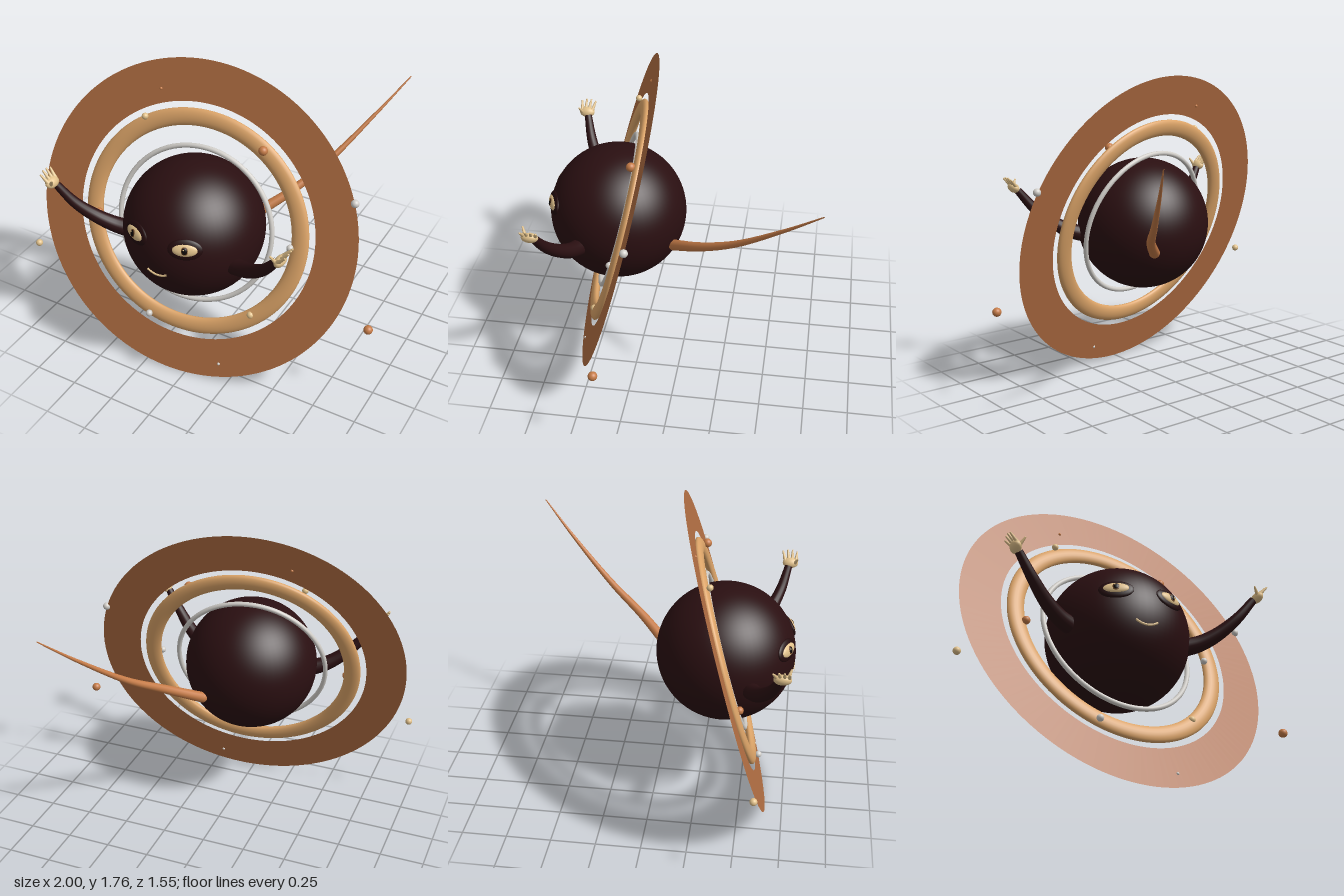
import * as THREE from 'three';

const mat = (name, color, side = THREE.FrontSide) => {
  const m = new THREE.MeshStandardMaterial({ color, side });
  m.name = name;
  return m;
};
const V = (x, y, z) => new THREE.Vector3(x, y, z);
const CENTER = V(-0.055, 0.885, 0.385);
const R = 0.387;
const NORMAL = V(0.132, 0.266, 0.955).normalize(); // tilt of the ring plane

// Tube along a curve whose radius tapers from r0 to r1
function taperedTube(points, r0, r1, segs = 40, sides = 16) {
  const curve = new THREE.CatmullRomCurve3(points);
  const geo = new THREE.TubeGeometry(curve, segs, 1, sides);
  const pos = geo.attributes.position;
  for (let i = 0; i <= segs; i++) {
    const t = i / segs, c = curve.getPointAt(t), r = r0 + (r1 - r0) * t;
    for (let j = 0; j <= sides; j++) {
      const k = i * (sides + 1) + j;
      const p = V(0, 0, 0).fromBufferAttribute(pos, k).sub(c).multiplyScalar(r).add(c);
      pos.setXYZ(k, p.x, p.y, p.z);
    }
  }
  return geo;
}

export function createModel() {
  const model = new THREE.Group();
  const body = mat('darkMaroon', 0x2a0f11);
  const socketMat = mat('socketMaroon', 0x220a0c);
  const ringMat = mat('rust', 0xb06d42, THREE.DoubleSide);
  const gold = mat('gold', 0xdca468);
  const silver = mat('silver', 0xd2cfca);
  const copper = mat('copper', 0xc67c48);
  const cream = mat('cream', 0xe2c28c);
  const irisMat = mat('irisBrown', 0x6b4422);
  const black = mat('pupilBlack', 0x0c0606);

  const add = (parent, name, geo, material, p) => {
    const m = new THREE.Mesh(geo, material);
    m.name = name;
    if (p) m.position.copy(p);
    parent.add(m);
    return m;
  };
  const ball = (parent, name, material, p, rx, ry = rx, rz = rx) => {
    const m = add(parent, name, new THREE.SphereGeometry(1, 24, 16), material, p);
    m.scale.set(rx, ry, rz);
    return m;
  };

  add(model, 'body', new THREE.SphereGeometry(R, 64, 48), body, CENTER);

  // Three concentric rings sharing one tilted plane
  const rings = new THREE.Group();
  rings.name = 'rings';
  rings.position.copy(CENTER);
  rings.quaternion.setFromUnitVectors(V(0, 0, 1), NORMAL);
  model.add(rings);
  add(rings, 'outerRing', new THREE.RingGeometry(0.682, 0.913, 128, 1), ringMat);
  add(rings, 'middleRing', new THREE.TorusGeometry(0.6, 0.048, 20, 128), gold).scale.z = 0.5;
  add(rings, 'innerHoop', new THREE.TorusGeometry(0.442, 0.014, 12, 96), silver);

  // Small moons: x, y, z, radius, material
  [
    [-0.39, 1.43, 0.315, 0.018, cream], [0.28, 1.38, 0.24, 0.025, copper],
    [0.785, 1.19, 0.187, 0.022, silver], [0.495, 0.89, 0.33, 0.019, silver],
    [0.335, 0.46, 0.465, 0.02, cream], [-0.24, 0.33, 0.6, 0.019, silver],
    [-0.605, 0.845, 0.5, 0.022, copper], [-0.98, 0.555, 0.605, 0.02, cream],
    [0.97, 0.53, 0.335, 0.025, copper], [-0.335, 1.573, 0.232, 0.008, copper],
    [0.19, 0.11, 0.567, 0.008, silver],
  ].forEach(([x, y, z, r, m]) => ball(model, 'moon', m, V(x, y, z), r));

  // Tail sweeping up and back
  const tail = [V(0.12, 0.79, 0.04), V(0.27, 0.9, -0.13), V(0.4, 1.03, -0.33),
    V(0.56, 1.25, -0.59), V(0.68, 1.43, -0.78)];
  add(model, 'tail', taperedTube(tail, 0.031, 0.003, 60), copper);
  ball(model, 'tailBase', copper, tail[0], 0.031);

  // Eyes, laid on the body surface
  for (const s of [-1, 1]) {
    const dir = V(0.15 * s, 0.11, 0.34).normalize();
    const eye = new THREE.Group();
    eye.name = s > 0 ? 'leftEye' : 'rightEye';
    eye.position.copy(CENTER).addScaledVector(dir, R);
    eye.rotation.set(-Math.asin(dir.y), Math.atan2(dir.x, dir.z), 0, 'YXZ');
    model.add(eye);
    ball(eye, 'socket', socketMat, V(0, 0, -0.005), 0.092, 0.058, 0.018);
    ball(eye, 'eyeball', cream, V(0, 0, 0.004), 0.068, 0.035, 0.018);
    ball(eye, 'iris', irisMat, V(0, 0, 0.018), 0.021, 0.023, 0.006);
    ball(eye, 'pupil', black, V(0, 0, 0.021), 0.014, 0.018, 0.006);
    ball(eye, 'glint', cream, V(-0.006, 0.008, 0.026), 0.004, 0.004, 0.003);
  }

  // Smile wrapped on the body
  const smile = [-1, -0.75, -0.4, 0, 0.4, 0.75, 1].map((t) => {
    const x = 0.06 * t, y = -0.083 + 0.02 * t * t;
    return V(x, y, Math.sqrt(R * R - x * x - y * y) + 0.002).add(CENTER);
  });
  add(model, 'mouth', new THREE.TubeGeometry(new THREE.CatmullRomCurve3(smile), 30, 0.006, 8), cream);

  // Raised arms with open hands, mirrored about the body centre
  for (const s of [-1, 1]) {
    const at = (x, y, z) => V(CENTER.x + s * x, y, z);
    const arm = new THREE.Group();
    arm.name = s > 0 ? 'leftArm' : 'rightArm';
    model.add(arm);
    const path = [at(0.3, 0.83, 0.53), at(0.4, 0.86, 0.57), at(0.49, 0.915, 0.615),
      at(0.58, 1.0, 0.665), at(0.665, 1.11, 0.7)];
    add(arm, 'sleeve', taperedTube(path, 0.05, 0.022), body);
    ball(arm, 'shoulder', body, path[0], 0.05);
    const palm = ball(arm, 'palm', cream, at(0.685, 1.125, 0.71), 0.026, 0.032, 0.046);
    palm.rotation.z = -s * 0.7;
    for (let i = 0; i < 4; i++) {
      const k = i - 1.5;
      const a = at(0.685, 1.135, 0.71 + k * 0.02);
      const b = at(0.732 - Math.abs(k) * 0.004, 1.19 - Math.abs(k) * 0.008, 0.705 + k * 0.028);
      add(arm, 'finger', taperedTube([a, a.clone().lerp(b, 0.5), b], 0.012, 0.005, 8, 10), cream);
      ball(arm, 'fingertip', cream, b, 0.005);
    }
    const a = at(0.675, 1.125, 0.735), b = at(0.65, 1.165, 0.752);
    add(arm, 'thumb', taperedTube([a, a.clone().lerp(b, 0.5), b], 0.012, 0.005, 8, 10), cream);
    ball(arm, 'thumbTip', cream, b, 0.005);
  }
  return model;
}
